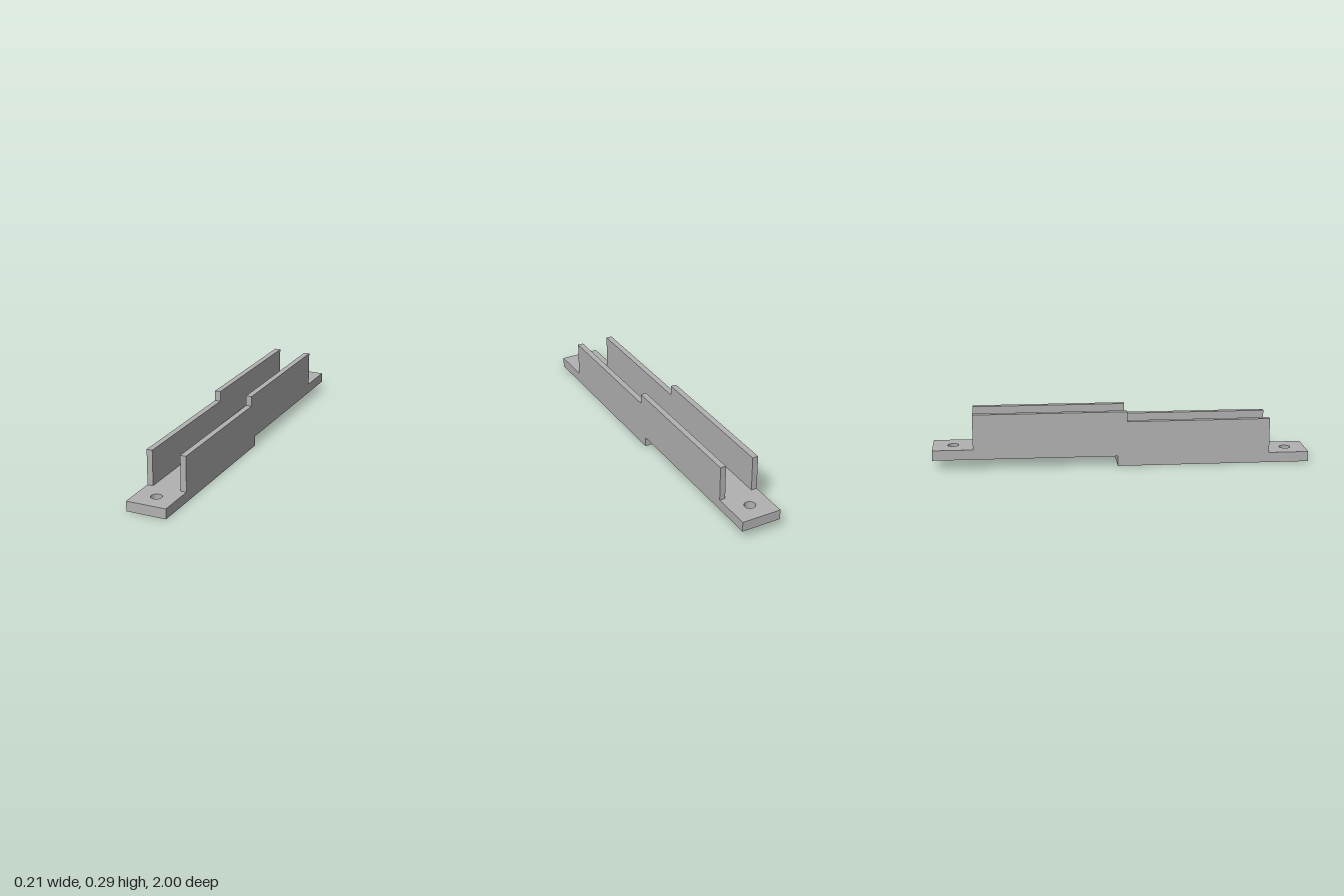
import * as THREE from 'three';

const HALF_W = 0.107, WALL = 0.031, THICK = 0.0535;
const STEP = 0.025, WALL_END = 0.787, HOLE_Z = 0.893, HOLE_R = 0.029;

const outline = (points) => new THREE.Shape(points.map(([a, b]) => new THREE.Vector2(a, b)));

export function createModel() {
  const model = new THREE.Group();
  const grey = new THREE.MeshStandardMaterial({ color: 0xb2b2b2 });
  grey.name = 'light grey';

  const add = (name, geometry, x, y) => {
    const mesh = new THREE.Mesh(geometry, grey);
    mesh.name = name;
    mesh.position.set(x, y, 0);
    model.add(mesh);
  };

  // Flat base plate between two z values, with a screw hole near its end
  const plate = (z0, z1, holeZ) => {
    const shape = outline([[-HALF_W, z0], [HALF_W, z0], [HALF_W, z1], [-HALF_W, z1]]);
    shape.holes.push(new THREE.Path().absarc(0, holeZ, HOLE_R, 0, Math.PI * 2, true));
    return new THREE.ExtrudeGeometry(shape, { depth: THICK, bevelEnabled: false, curveSegments: 32 })
      .rotateX(Math.PI / 2);
  };
  add('frontBasePlate', plate(-STEP, 1, HOLE_Z), 0, THICK);
  add('backBasePlate', plate(-1, STEP, -HOLE_Z), 0, THICK * 2);

  // Stepped side walls: profile in z and y, extruded across x
  const wallProfile = outline([
    [-WALL_END, THICK * 2], [STEP, THICK * 2], [STEP, THICK], [WALL_END, THICK],
    [WALL_END, 0.241], [STEP, 0.241], [STEP, 0.295], [-WALL_END, 0.295],
  ]);
  const wall = new THREE.ExtrudeGeometry(wallProfile, { depth: WALL, bevelEnabled: false })
    .rotateY(-Math.PI / 2);
  add('leftWall', wall, HALF_W, 0);
  add('rightWall', wall, -HALF_W + WALL, 0);

  return model;
}
